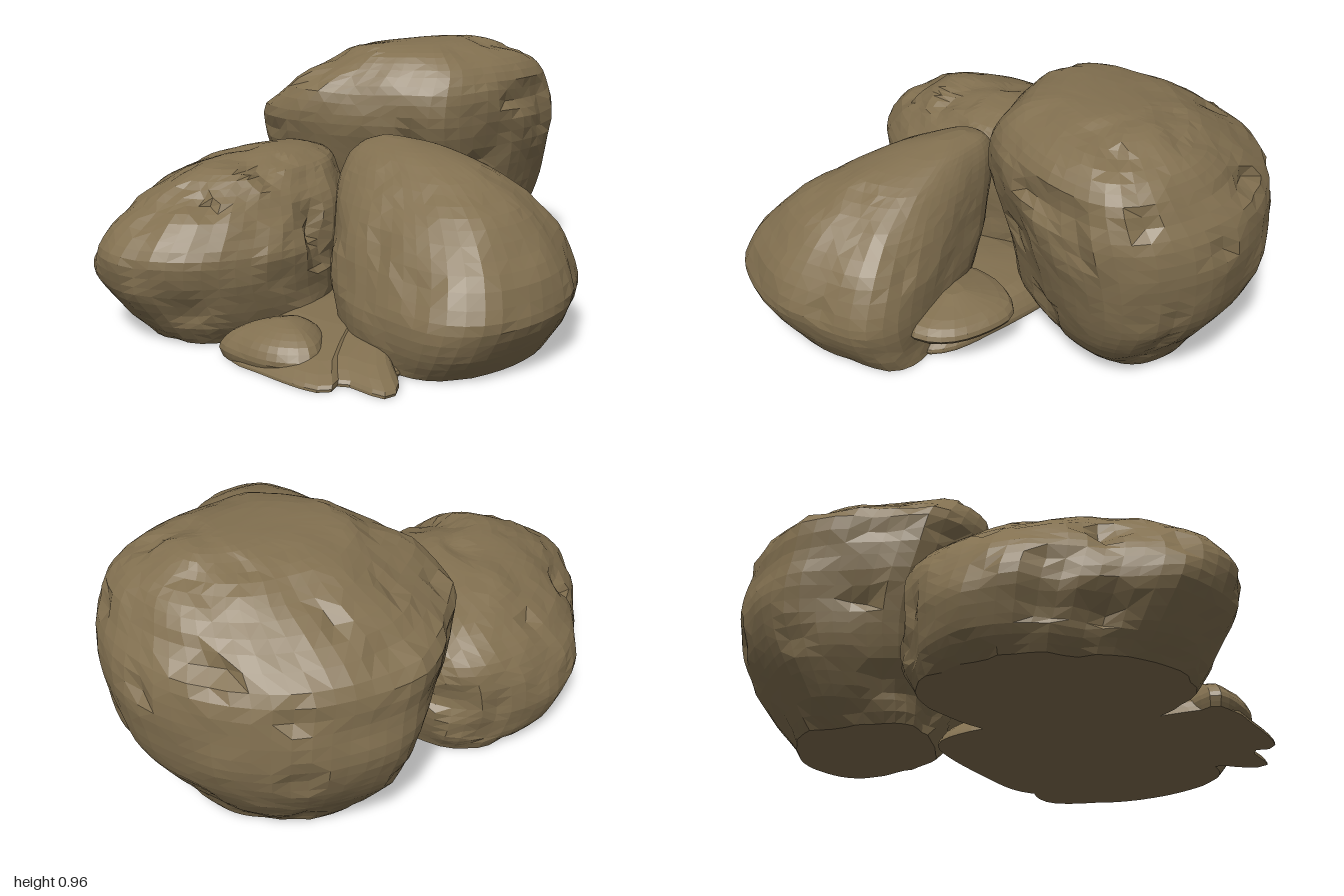
import * as THREE from 'three';

const stone = new THREE.MeshStandardMaterial({ color: 0x827050, flatShading: true });
stone.name = 'brown stone';

// Smooth lattice noise, -1..1
const hash = (x, y, z) => {
  const s = Math.sin(x * 127.1 + y * 311.7 + z * 74.7) * 43758.5453;
  return (s - Math.floor(s)) * 2 - 1;
};
function noise(x, y, z) {
  const i = Math.floor(x), j = Math.floor(y), k = Math.floor(z);
  const f = (t) => t * t * (3 - 2 * t);
  const u = f(x - i), v = f(y - j), w = f(z - k);
  const mix = THREE.MathUtils.lerp;
  const row = (b, c) => mix(hash(i, b, c), hash(i + 1, b, c), u);
  return mix(mix(row(j, k), row(j + 1, k), v), mix(row(j, k + 1), row(j + 1, k + 1), v), w);
}

// A stone: a plan outline fitted to the bounds [y, x0, x1, z0, z1] of each layer
function rock(name, outline, layers, { around = 44, rings = 24, rough = 0.015, pits = 0.02 } = {}) {
  const curve = new THREE.CatmullRomCurve3(outline.map(([x, z]) => new THREE.Vector3(x, 0, z)), true);
  const plan = curve.getSpacedPoints(around).slice(0, around);
  const box = new THREE.Box3().setFromPoints(plan);
  const size = box.getSize(new THREE.Vector3());
  const unit = plan.map((p) => [(p.x - box.min.x) / size.x, (p.z - box.min.z) / size.z]);

  // Spline through the layers, one curve for each pair of bounds
  const low = new THREE.CatmullRomCurve3(layers.map((l) => new THREE.Vector3(l[1], l[0], l[3])), false, 'catmullrom', 0.4);
  const high = new THREE.CatmullRomCurve3(layers.map((l) => new THREE.Vector3(l[2], l[0], l[4])), false, 'catmullrom', 0.4);
  const pos = [], index = [];
  for (let r = 0; r <= rings; r++) {
    const a = low.getPoint(r / rings), b = high.getPoint(r / rings);
    const cx = (a.x + b.x) / 2, cz = (a.z + b.z) / 2;
    for (const [u, v] of unit) {
      let x = a.x + (b.x - a.x) * u, y = a.y, z = a.z + (b.z - a.z) * v;
      const len = Math.hypot(x - cx, z - cz) || 1;
      // Broad lumps plus sharp pits, fading out at the crown and the ground
      const lump = rough * noise(x * 5, y * 5, z * 5) + rough * 0.45 * noise(x * 13 + 9, y * 13, z * 13);
      const pit = pits * Math.max(0, noise(x * 8 + 4, y * 8, z * 8) - 0.3) * 2;
      const d = (lump - pit) * Math.min(1, len / 0.25);
      x += (x - cx) / len * d;
      z += (z - cz) / len * d;
      if (r > 0) y = Math.max(0, y + d * 0.5 * Math.min(1, y / 0.1));
      pos.push(x, r === 0 ? 0 : y, z);
    }
  }
  for (let r = 0; r < rings; r++) {
    for (let j = 0; j < around; j++) {
      const n = (j + 1) % around;
      const a = r * around + j, b = r * around + n, c = a + around, d = b + around;
      if (hash(r, j, 3) > 0) index.push(a, c, b, b, c, d);
      else index.push(a, c, d, a, d, b);
    }
  }
  // Flat underside and closed crown
  const middle = (l) => pos.push((l[1] + l[2]) / 2, l[0], (l[3] + l[4]) / 2) / 3 - 1;
  const foot = middle(layers[0]), crown = middle(layers[layers.length - 1]), top = rings * around;
  for (let j = 0; j < around; j++) {
    const n = (j + 1) % around;
    index.push(foot, j, n, crown, top + n, top + j);
  }

  const geo = new THREE.BufferGeometry();
  geo.setAttribute('position', new THREE.Float32BufferAttribute(pos, 3));
  geo.setIndex(index);
  geo.computeVertexNormals();
  const mesh = new THREE.Mesh(geo, stone);
  mesh.name = name;
  return mesh;
}

export function createModel() {
  const group = new THREE.Group();
  group.name = 'rockPile';

  // Tall boulder, narrow at the ground
  group.add(rock('backBoulder',
    [[-0.26, -1], [0.03, -0.95], [0.14, -0.85], [0.19, -0.62], [0.17, -0.4], [0.12, -0.2], [-0.02, -0.1],
      [-0.2, 0.01], [-0.45, 0.1], [-0.64, 0.06], [-0.73, -0.07], [-0.86, -0.32], [-0.83, -0.52], [-0.7, -0.77], [-0.5, -0.93]],
    [[0, -0.62, -0.1, -0.75, -0.15], [0.1, -0.71, 0.01, -0.82, -0.1], [0.2, -0.78, 0.07, -0.89, -0.06],
      [0.3, -0.83, 0.1, -0.95, -0.03], [0.42, -0.86, 0.13, -0.985, 0.01], [0.55, -0.867, 0.16, -0.995, 0.06],
      [0.68, -0.86, 0.185, -0.98, 0.1], [0.79, -0.72, 0.175, -0.93, 0.06], [0.87, -0.58, 0.13, -0.87, -0.03],
      [0.925, -0.46, 0.05, -0.78, -0.11], [0.955, -0.3, -0.06, -0.7, -0.25], [0.962, -0.2, -0.15, -0.6, -0.5]],
    { around: 52, rings: 30, pits: 0.03 }));

  // Boulder leaning towards the middle
  group.add(rock('leftBoulder',
    [[-0.06, 0.1], [-0.045, 0], [0.04, -0.1], [0.18, -0.18], [0.35, -0.26], [0.58, -0.31], [0.68, -0.27], [0.78, -0.12],
      [0.85, 0.03], [0.87, 0.2], [0.82, 0.4], [0.7, 0.5], [0.5, 0.515], [0.22, 0.48], [0.05, 0.4], [-0.035, 0.28]],
    [[0, 0.07, 0.74, -0.29, 0.49], [0.1, 0.06, 0.82, -0.3, 0.515], [0.22, 0.015, 0.872, -0.3, 0.505],
      [0.37, -0.035, 0.81, -0.26, 0.43], [0.5, -0.06, 0.69, -0.19, 0.345], [0.59, -0.06, 0.53, -0.12, 0.25],
      [0.645, -0.03, 0.33, -0.05, 0.16], [0.67, 0.04, 0.16, 0.03, 0.08]], { rough: 0.012, pits: 0.01 }));

  // Pitted boulder with an overhanging front
  group.add(rock('frontBoulder',
    [[-0.7, 0], [-0.5, -0.03], [-0.3, 0], [-0.15, 0.08], [-0.05, 0.2], [0.02, 0.35], [0.05, 0.52], [0.02, 0.7], [-0.04, 0.82],
      [-0.12, 0.91], [-0.28, 0.99], [-0.5, 0.95], [-0.63, 0.83], [-0.76, 0.65], [-0.86, 0.45], [-0.86, 0.25], [-0.8, 0.1]],
    [[0, -0.79, 0, 0, 0.82], [0.08, -0.84, 0.02, -0.02, 0.89], [0.2, -0.875, 0.035, -0.03, 0.97],
      [0.32, -0.845, 0.05, -0.03, 0.99], [0.42, -0.77, 0.02, -0.03, 0.92], [0.51, -0.65, -0.05, 0, 0.81],
      [0.57, -0.54, -0.11, 0.04, 0.66], [0.605, -0.43, -0.2, 0.13, 0.5], [0.62, -0.34, -0.28, 0.26, 0.36]],
    { around: 52, rings: 28, rough: 0.02, pits: 0.04 }));

  // Thin broken slab under the pile
  group.add(rock('groundSlab',
    [[0.1, -0.36], [0.4, -0.34], [0.5, 0], [0.54, 0.51], [0.58, 0.53], [0.64, 0.62], [0.62, 0.65], [0.44, 0.67],
      [0.46, 0.72], [0.44, 0.76], [0.2, 0.8], [0, 0.78], [-0.12, 0.4], [-0.3, 0.1], [-0.3, -0.25]],
    [[0, -0.3, 0.64, -0.3, 0.8], [0.02, -0.29, 0.635, -0.3, 0.79], [0.06, -0.25, 0.53, -0.27, 0.71],
      [0.1, -0.15, 0.36, -0.2, 0.5], [0.12, 0.08, 0.12, 0.1, 0.14]], { around: 72, rings: 8, rough: 0.006, pits: 0 }));

  // Low stone behind, undercut at the back
  group.add(rock('rearStone',
    [[0.1, -0.38], [0.25, -0.42], [0.42, -0.39], [0.51, -0.3], [0.5, -0.1], [0.3, 0], [0.1, -0.1]],
    [[0, 0.08, 0.42, -0.26, 0], [0.08, 0.08, 0.47, -0.36, 0], [0.14, 0.09, 0.51, -0.42, 0], [0.18, 0.11, 0.47, -0.38, 0],
      [0.22, 0.25, 0.32, -0.26, -0.18]], { around: 28, rings: 10, rough: 0.012, pits: 0.01 }));

  // Small stone in front
  group.add(rock('frontPebble',
    [[0.03, 0.58], [0.1, 0.5], [0.22, 0.52], [0.31, 0.62], [0.33, 0.69], [0.25, 0.77], [0.12, 0.8], [-0.02, 0.78], [-0.01, 0.68]],
    [[0, -0.02, 0.33, 0.52, 0.79], [0.04, -0.03, 0.34, 0.5, 0.8], [0.09, 0, 0.31, 0.51, 0.77],
      [0.125, 0.06, 0.25, 0.56, 0.71], [0.14, 0.13, 0.17, 0.61, 0.66]], { around: 28, rings: 10, rough: 0.012, pits: 0.01 }));

  return group;
}
